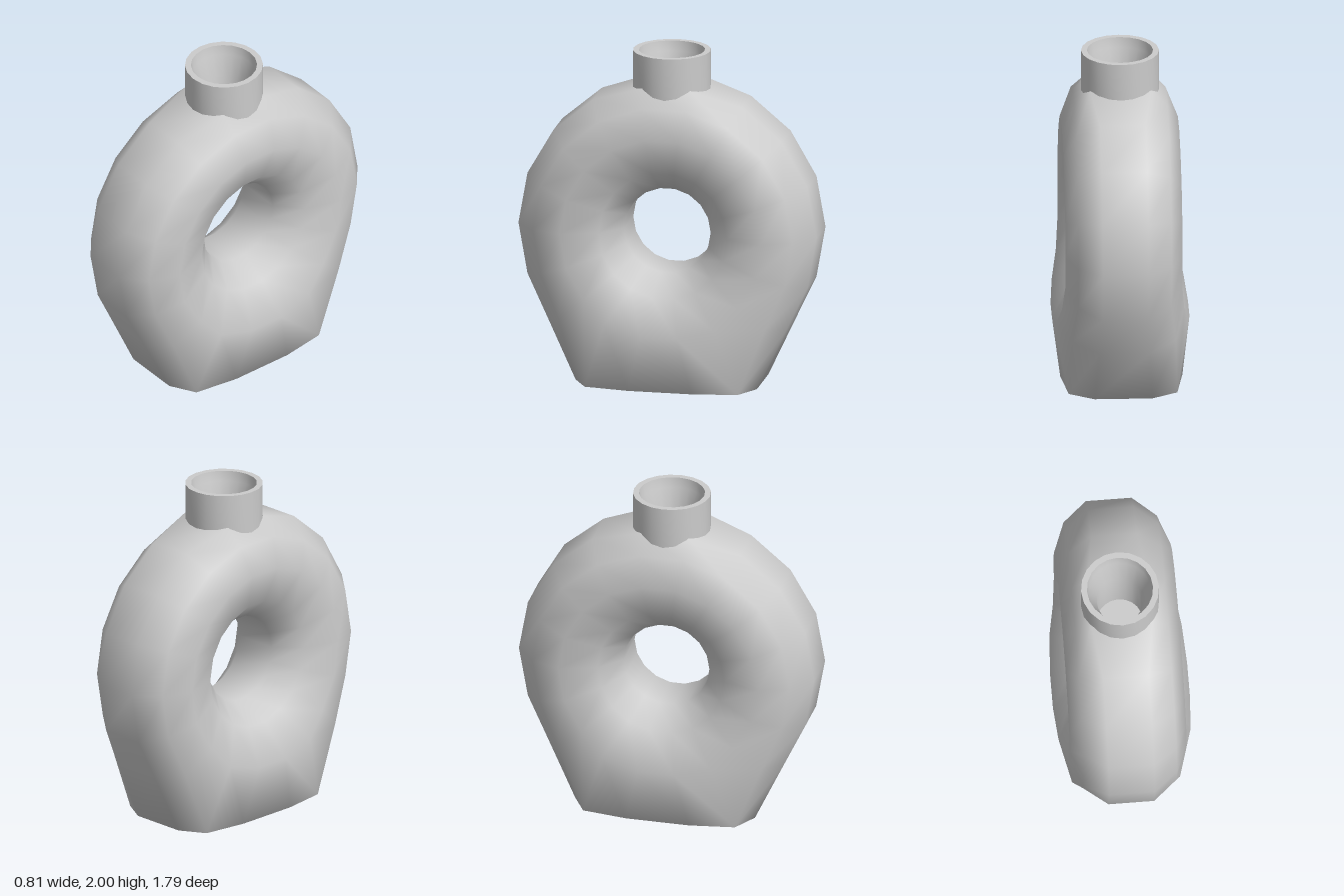
import * as THREE from 'three';
import { toCreasedNormals } from 'three/addons/utils/BufferGeometryUtils.js';

const CENTRE_Y = 0.93;
const SEGMENTS = 18;

// Half of the ring's cross-section, outer edge to inner edge: [x, radius]
const half = [[0.135, 0.895], [0.275, 0.78], [0.345, 0.605], [0.275, 0.385], [0.135, 0.26]];
const section = [...half, ...half.map(([x, r]) => [-x, r]).reverse()];

// Flared, flattened foot: degrees away from straight down -> [x, y, |z|] per section point
const foot = {
  10: [[0.17, 0, 0.19], [0.36, 0, 0.19], [0.405, 0.34, 0.11]],
  30: [[0.17, 0, 0.545], [0.32, 0, 0.46], [0.39, 0.4, 0.33]],
  50: [[0.15, 0.36, 0.715], [0.305, 0.4, 0.62], [0.36, 0.54, 0.46]],
};
// Square opening under the neck
const opening = [0.18, 1.8, 0.145];

function ringPoint(i, k) {
  const degrees = i * 20;
  const a = THREE.MathUtils.degToRad(degrees);
  const [x, r] = section[k];
  const row = Math.min(k, 9 - k);
  const special = (degrees === 80 || degrees === 100) && row === 0
    ? opening
    : foot[Math.abs(degrees - 270)]?.[row];
  if (special) {
    return [Math.sign(x) * special[0], special[1], Math.sign(Math.cos(a)) * special[2]];
  }
  return [x, CENTRE_Y + r * Math.sin(a), r * Math.cos(a)];
}

function ringGeometry() {
  const positions = [];
  const index = [];
  const n = section.length;
  for (let i = 0; i < SEGMENTS; i++) {
    for (let k = 0; k < n; k++) {
      positions.push(...ringPoint(i, k));
      if (i === 4 && k === n - 1) continue; // leave the mouth open
      const i2 = (i + 1) % SEGMENTS;
      const k2 = (k + 1) % n;
      const a = i * n + k, b = i * n + k2, c = i2 * n + k2, d = i2 * n + k;
      index.push(a, b, c, a, c, d);
    }
  }
  const geometry = new THREE.BufferGeometry();
  geometry.setAttribute('position', new THREE.Float32BufferAttribute(positions, 3));
  geometry.setIndex(index);
  geometry.computeVertexNormals();
  return geometry;
}

export function createModel() {
  const group = new THREE.Group();
  group.name = 'ringVase';
  const material = new THREE.MeshStandardMaterial({ color: 0xcccccc, side: THREE.DoubleSide });

  // Ring-shaped body with a flat foot
  const body = new THREE.Mesh(ringGeometry(), material);
  body.name = 'ringBody';
  group.add(body);

  // Neck: outer wall, rim, tapering throat and its floor
  const profile = [
    [0.23, 1.7], [0.23, 2], [0.195, 2], [0.185, 1.94], [0.138, 1.8], [0.135, 1.45], [0, 1.45],
  ].map(([r, y]) => new THREE.Vector2(r, y));
  const neck = new THREE.Mesh(toCreasedNormals(new THREE.LatheGeometry(profile, 20), 0.7), material);
  neck.name = 'neck';
  group.add(neck);

  return group;
}
